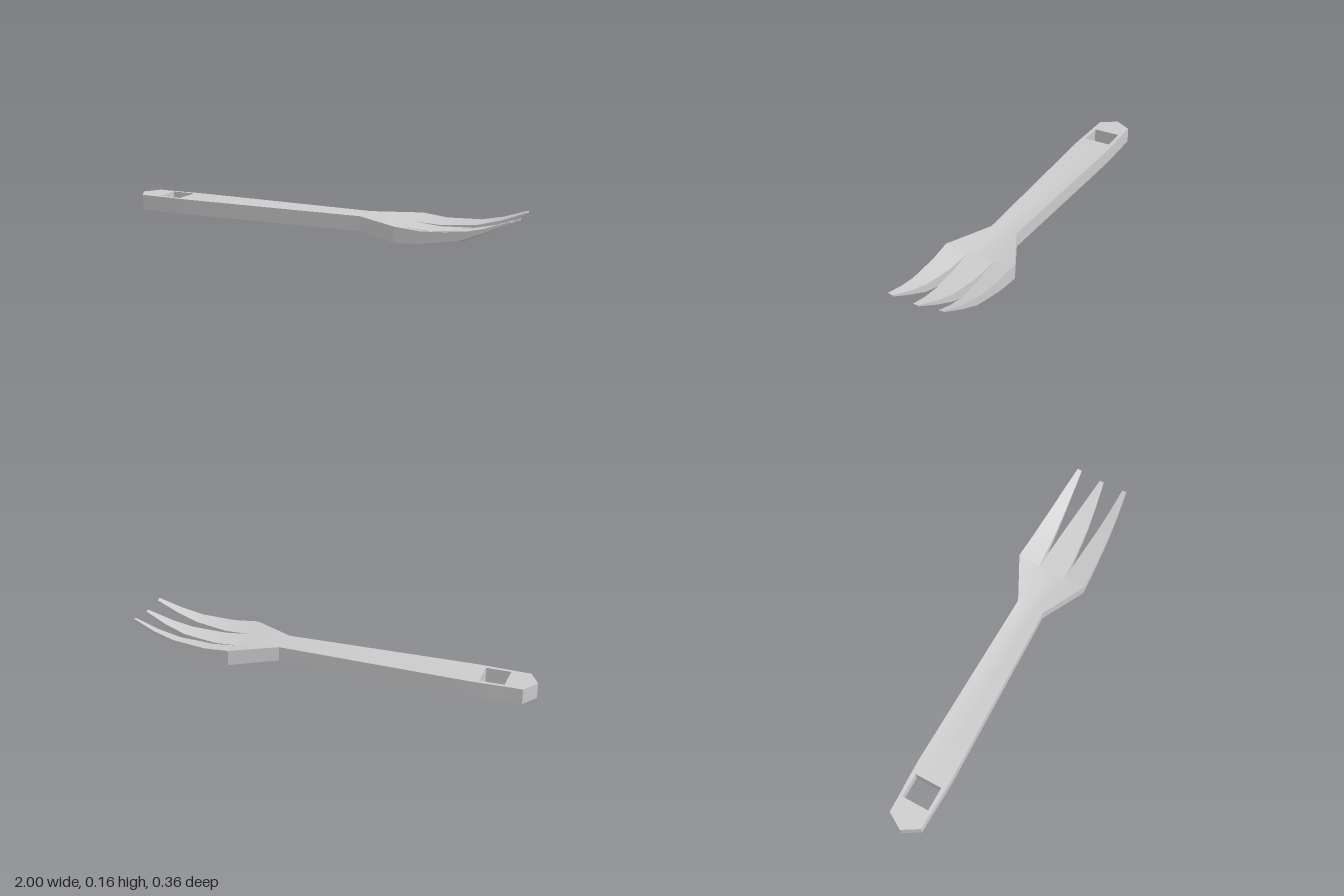
import * as THREE from 'three';
import { toCreasedNormals } from 'three/addons/utils/BufferGeometryUtils.js';

// Side profile along x: [x, bottom, top, fold slope, half width of the flat middle]
const PROFILE = [
  [-1, 0.036, 0.111, 0, 0],
  [-0.74, 0.035, 0.11, 0, 0],
  [0.25, 0.027, 0.098, 0.11, 0],
  [0.47, 0, 0.076, 0.2, 0.07],
  [0.6, 0.007, 0.066, 0.2, 0.07],
  [0.77, 0.038, 0.077, 0.2, 0.07],
  [0.88, 0.084, 0.104, 0.2, 0.07],
  [1, 0.142, 0.149, 0.2, 0.07],
];

function profileAt(x) {
  let i = 1;
  while (i < PROFILE.length - 1 && x > PROFILE[i][0]) i++;
  const a = PROFILE[i - 1], b = PROFILE[i];
  const t = (x - a[0]) / (b[0] - a[0]);
  return a.map((v, k) => v + (b[k] - v) * t);
}

// Slab through stations [x, z breaks in rising order]; cells for which isHole is true stay open
function slab(name, stations, material, { isHole = () => false, capEnd = false } = {}) {
  const pos = [];
  const rows = stations.map(([x, zs]) => zs.map((z) => {
    const [, bottom, top, slope, flat] = profileAt(x);
    const lift = slope * Math.max(0, Math.abs(z) - flat);
    return { t: new THREE.Vector3(x, top + lift, z), b: new THREE.Vector3(x, bottom + lift, z) };
  }));
  const tri = (a, b, c) => {
    const area = b.clone().sub(a).cross(c.clone().sub(a)).length();
    if (area > 1e-8) for (const p of [a, b, c]) pos.push(p.x, p.y, p.z);
  };
  const quad = (a, b, c, d) => { tri(a, b, c); tri(a, c, d); };
  const wall = (p, q) => quad(p.b, q.b, q.t, p.t);
  const nx = rows.length - 1, nz = rows[0].length - 1;
  const solid = (i, j) => j >= 0 && j < nz && !isHole(i, j);
  for (let i = 0; i < nx; i++) {
    for (let j = 0; j < nz; j++) {
      if (!solid(i, j)) continue;
      const p = rows[i][j], q = rows[i][j + 1], r = rows[i + 1][j + 1], s = rows[i + 1][j];
      quad(p.t, q.t, r.t, s.t);
      quad(p.b, s.b, r.b, q.b);
      if (!solid(i, j + 1)) wall(q, r);
      if (!solid(i, j - 1)) wall(s, p);
      if (i < nx - 1 ? !solid(i + 1, j) : capEnd) wall(r, s);
      if (i > 0 && !solid(i - 1, j)) wall(p, q);
    }
  }
  const geometry = new THREE.BufferGeometry();
  geometry.setAttribute('position', new THREE.Float32BufferAttribute(pos, 3));
  const mesh = new THREE.Mesh(toCreasedNormals(geometry, 0.35), material);
  mesh.name = name;
  return mesh;
}

export function createModel() {
  const group = new THREE.Group();
  group.name = 'fork';
  const material = new THREE.MeshStandardMaterial({ color: 0xcccccc });

  // Handle with a square hanging hole, widening into the head: [x, half width, inner break]
  const outline = [
    [-1, 0, 0], [-0.95, 0.083, 0.05], [-0.86, 0.085, 0.068], [-0.74, 0.089, 0.068],
    [-0.68, 0.09, 0.06], [0.25, 0.068, 0.027], [0.47, 0.18, 0.07],
  ];
  group.add(slab('handleAndHead', outline.map(([x, w, m]) => [x, [-w, -m, 0, m, w]]), material, {
    isHole: (i, j) => i === 2 && (j === 1 || j === 2),
  }));

  // Tines: [x, middle half width, outer tine inner edge, outer tine outer edge]
  const tines = [
    [0.47, 0.07, 0.07, 0.18], [0.6, 0.062, 0.078, 0.173], [0.7, 0.053, 0.087, 0.167],
    [0.77, 0.046, 0.094, 0.162], [0.88, 0.031, 0.104, 0.152], [1, 0.011, 0.114, 0.136],
  ];
  group.add(slab('middleTine', tines.map(([x, m]) => [x, [-m, 0, m]]), material, { capEnd: true }));
  group.add(slab('frontTine', tines.map(([x, , a, b]) => [x, [a, b]]), material, { capEnd: true }));
  group.add(slab('backTine', tines.map(([x, , a, b]) => [x, [-b, -a]]), material, { capEnd: true }));
  return group;
}
